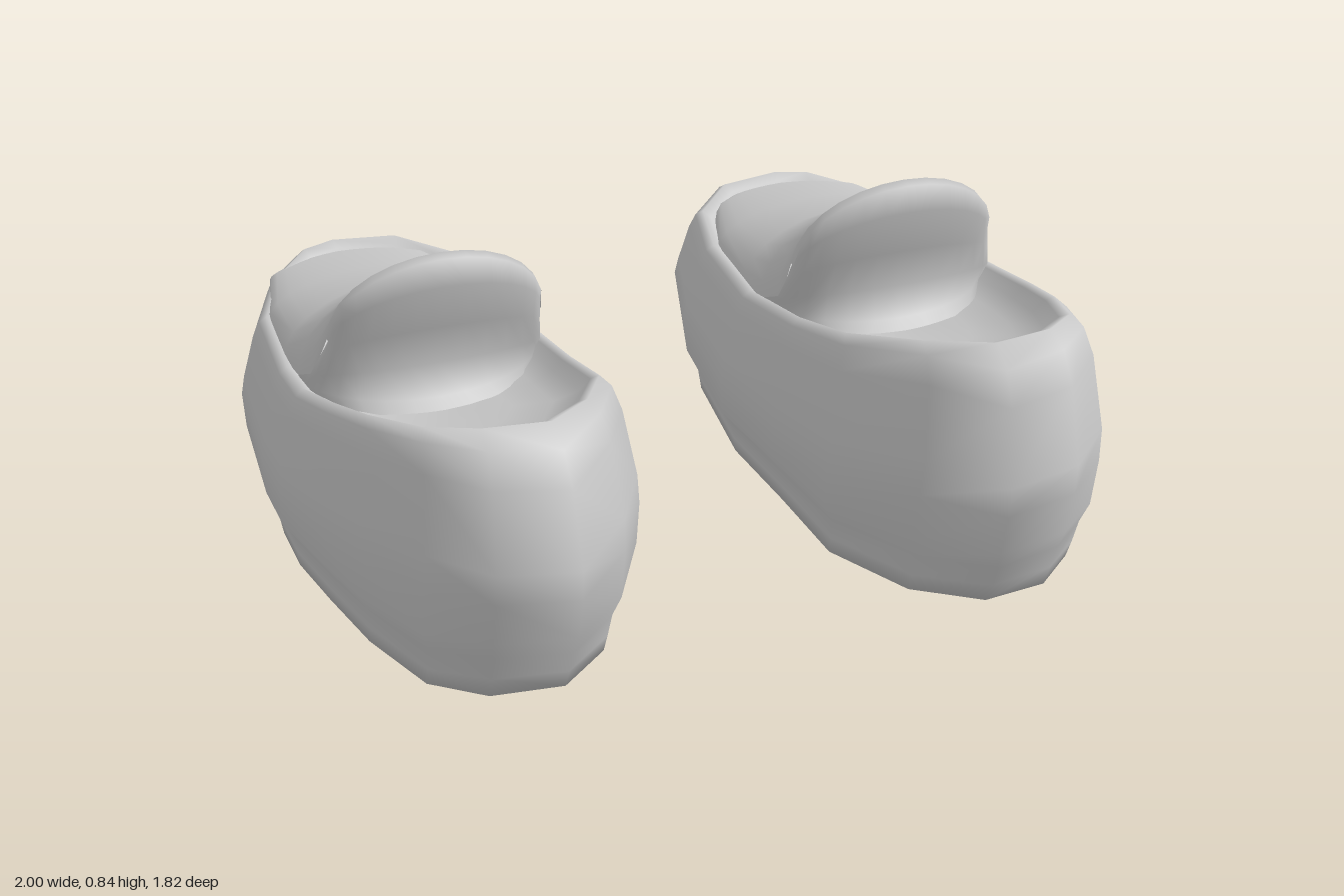
import * as THREE from 'three';

const CX = 0.61; // centre line of one shoe

// Sole outline seen from above, from the toe tip round the outer side to the heel and back
const OUTLINE = [
  [0.64, -0.91], [0.74, -0.88], [0.87, -0.74], [0.97, -0.51], [0.995, -0.18], [1.0, 0.02],
  [0.97, 0.25], [0.925, 0.49], [0.84, 0.74], [0.71, 0.87], [0.52, 0.91], [0.365, 0.75],
  [0.24, 0.49], [0.225, 0.17], [0.22, -0.18], [0.24, -0.51], [0.30, -0.74], [0.44, -0.88],
];

// Heights along z: underside and rim
const BOTTOM = [[-0.84, 0.1], [-0.47, 0.03], [-0.17, 0.0], [0.15, 0.025], [0.72, 0.025], [0.8, 0.05]];
const RIM = [[-0.85, 0.46], [-0.6, 0.45], [-0.2, 0.46], [0, 0.495], [0.2, 0.555], [0.6, 0.68], [0.75, 0.725], [0.9, 0.69]];

// Rings of the body: height fraction, width scale, toe length scale, heel length scale
const RINGS = [
  [0, 0, 0, 0],
  [0, 0.6, 0.6, 0.6],
  [0, 0.9, 0.92, 0.865],
  [0.08, 0.91, 0.93, 0.895],
  [0.18, 0.925, 0.94, 0.925],
  [0.26, 0.995, 0.955, 0.95],
  [0.45, 1.0, 1.0, 0.985],
  [0.58, 0.98, 0.985, 1.0],
  [0.86, 0.905, 0.955, 0.95],
  [0.96, 0.86, 0.94, 0.9],
  [1.0, 0.81, 0.92, 0.83],
  [0.98, 0.77, 0.88, 0.78],
  [0.92, 0.72, 0.85, 0.72],
  [0.86, 0.6, 0.72, 0.6],
  [0.82, 0.4, 0.5, 0.4],
  [0.8, 0, 0, 0],
];

// Upper and tongue sections: centre z, centre y, edge z, edge y, half width, centre x, arch power
const TONGUE = [
  [-0.81, 0.44, -0.78, 0.435, 0.13, 0.62, 1],
  [-0.73, 0.465, -0.71, 0.435, 0.215, 0.62, 1],
  [-0.5, 0.535, -0.48, 0.435, 0.285, 0.61, 1.05],
  [-0.28, 0.6, -0.25, 0.445, 0.3, 0.61, 1.1],
  [-0.15, 0.675, -0.12, 0.465, 0.3, 0.605, 1.05],
  [-0.05, 0.74, -0.03, 0.51, 0.29, 0.605, 0.95],
  [0.02, 0.79, 0.0, 0.57, 0.275, 0.6, 0.9],
  [0.09, 0.84, 0.015, 0.62, 0.265, 0.595, 0.85],
  [0.12, 0.835, 0.03, 0.62, 0.265, 0.595, 0.85],
  [0.135, 0.77, 0.015, 0.61, 0.265, 0.595, 0.9],
  [0.085, 0.64, 0.0, 0.57, 0.275, 0.6, 0.9],
  [0.055, 0.53, -0.03, 0.51, 0.29, 0.605, 0.95],
  [0.08, 0.45, -0.12, 0.465, 0.3, 0.605, 1],
  [0.17, 0.4, -0.15, 0.4, 0.28, 0.605, 1],
];

// Linear lookup in a list of [position, value]
function lookup(table, z) {
  if (z <= table[0][0]) return table[0][1];
  for (let i = 1; i < table.length; i++) {
    const [z0, v0] = table[i - 1], [z1, v1] = table[i];
    if (z <= z1) return v0 + (v1 - v0) * (z - z0) / (z1 - z0);
  }
  return table[table.length - 1][1];
}

// Smooth skin over rows of points; side = -1 mirrors it across x
function skin(rows, closed, side) {
  const n = rows[0].length, pos = [], index = [];
  rows.forEach(row => row.forEach(([x, y, z]) => pos.push(side * x, y, z)));
  const tri = (a, b, c) => (side > 0 ? index.push(a, b, c) : index.push(a, c, b));
  for (let r = 0; r < rows.length - 1; r++) {
    for (let i = 0; i < (closed ? n : n - 1); i++) {
      const j = (i + 1) % n;
      const a = r * n + i, b = r * n + j, c = a + n, d = b + n;
      tri(a, c, b);
      tri(c, d, b);
    }
  }
  const geo = new THREE.BufferGeometry();
  geo.setAttribute('position', new THREE.Float32BufferAttribute(pos, 3));
  geo.setIndex(index);
  geo.computeVertexNormals();
  return geo;
}

// Outer wall, rounded rim, inner wall and insole
function bodyRows() {
  return RINGS.map(([t, sx, toe, heel]) => OUTLINE.map(([px, pz]) => {
    const z = pz * (pz < 0 ? toe : heel);
    const low = lookup(BOTTOM, z), high = lookup(RIM, z);
    return [CX + (px - CX) * sx, low + (high - low) * t, z];
  }));
}

// Arched sections from the toe up to the tongue tip and down its back to the insole
function tongueRows() {
  const steps = 14;
  return TONGUE.map(([zc, yc, ze, ye, hw, cx, power]) => Array.from({ length: steps + 1 }, (_, i) => {
    const a = Math.PI * i / steps;
    const w = Math.pow(Math.max(0, Math.sin(a)), power);
    return [cx - Math.cos(a) * hw, ye + (yc - ye) * w, ze + (zc - ze) * w];
  }));
}

export function createModel() {
  const group = new THREE.Group();
  group.name = 'pairOfShoes';
  const grey = new THREE.MeshStandardMaterial({ color: 0xcccccc, side: THREE.DoubleSide });
  grey.name = 'light grey';

  for (const [side, label] of [[1, 'left'], [-1, 'right']]) {
    const shoe = new THREE.Group();
    shoe.name = label + 'Shoe';
    const body = new THREE.Mesh(skin(bodyRows(), true, side), grey);
    body.name = label + 'ShoeBody';
    const tongue = new THREE.Mesh(skin(tongueRows(), false, side), grey);
    tongue.name = label + 'ShoeTongue';
    shoe.add(body, tongue);
    group.add(shoe);
  }
  return group;
}
